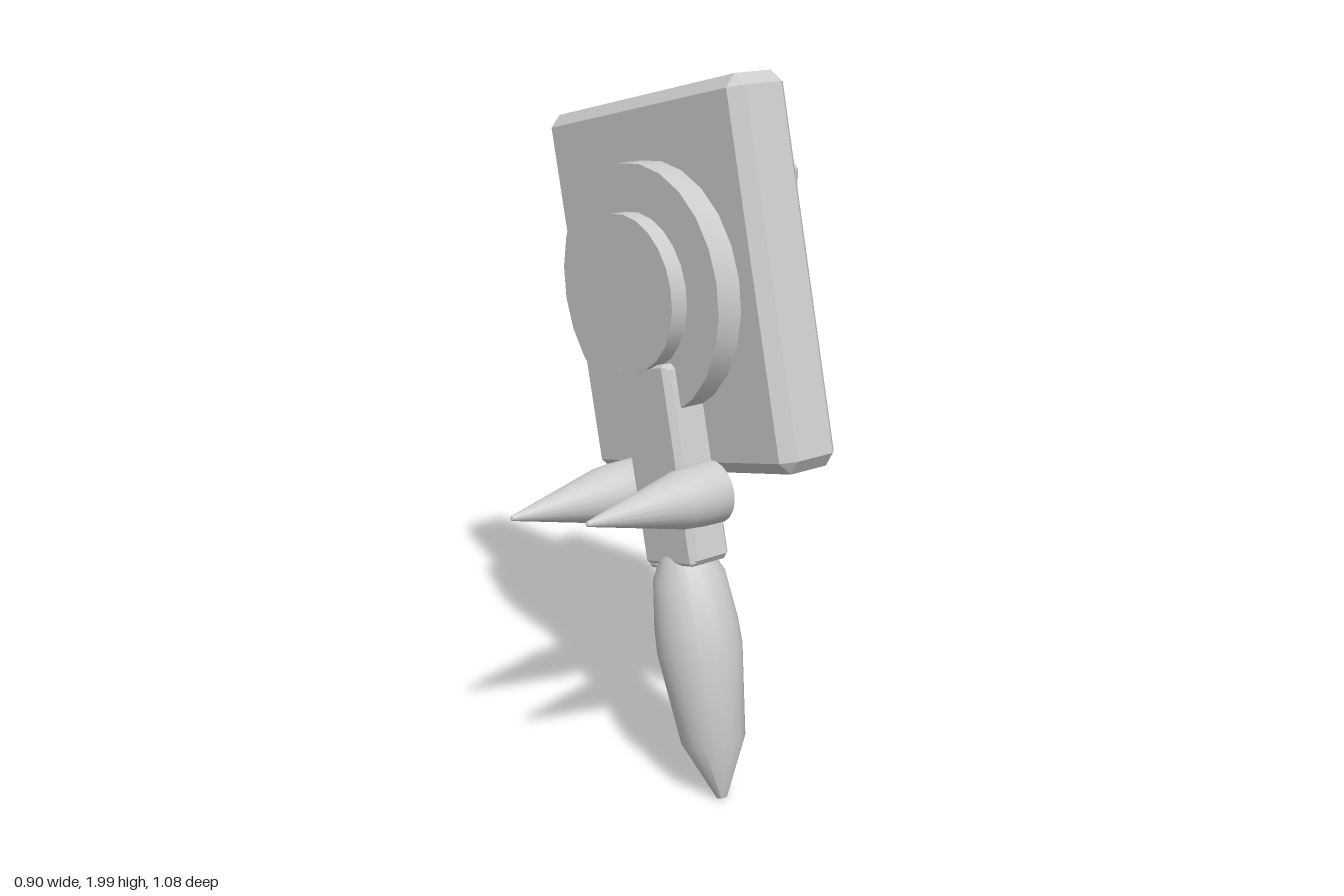
import * as THREE from 'three';
import { toCreasedNormals } from 'three/addons/utils/BufferGeometryUtils.js';
import { ConvexGeometry } from 'three/addons/geometries/ConvexGeometry.js';

const grey = new THREE.MeshStandardMaterial({ color: 0xcccccc });
grey.name = 'light grey';

function add(parent, name, geometry, x = 0, y = 0, z = 0) {
  const mesh = new THREE.Mesh(geometry, grey);
  mesh.name = name;
  mesh.position.set(x, y, z);
  parent.add(mesh);
  return mesh;
}

// Box with every edge and corner cut by c
function chamferBox(w, h, d, c) {
  const points = [];
  for (const sx of [-1, 1]) for (const sy of [-1, 1]) for (const sz of [-1, 1]) {
    const half = [w / 2, h / 2, d / 2];
    for (let axis = 0; axis < 3; axis++) {
      const p = half.map((v, i) => (i === axis ? v : v - c));
      points.push(new THREE.Vector3(p[0] * sx, p[1] * sy, p[2] * sz));
    }
  }
  return new ConvexGeometry(points);
}

// Turned shape from [radius, height] pairs
function turned(profile, sides) {
  const points = profile.map(([r, y]) => new THREE.Vector2(r, y));
  return toCreasedNormals(new THREE.LatheGeometry(points, sides), 0.6);
}

export function createModel() {
  const model = new THREE.Group();
  model.name = 'model';

  // Everything except the side block shares one tilt
  const body = new THREE.Group();
  body.name = 'tiltedBody';
  body.position.set(0.16, 1.392, 0);
  body.rotation.set(THREE.MathUtils.degToRad(-14), THREE.MathUtils.degToRad(-10), 0, 'YXZ');
  model.add(body);

  add(body, 'mainSlab', chamferBox(0.19, 1.035, 0.87, 0.034));

  // Stepped discs on the slab's right face
  for (const [name, radius, outer] of [['largeDisc', 0.345, 0.17], ['smallDisc', 0.215, 0.22]]) {
    const depth = outer - 0.08;
    const disc = toCreasedNormals(new THREE.CylinderGeometry(radius, radius, depth, 24), 0.6);
    add(body, name, disc, -0.08 - depth / 2).rotation.z = Math.PI / 2;
  }

  // Grooved arm leading down to the bulb
  add(body, 'armPlate', chamferBox(0.05, 0.55, 0.21, 0.008), -0.18, -0.475, 0.005);
  add(body, 'armFrontRail', chamferBox(0.13, 0.55, 0.155, 0.015), -0.138, -0.475, 0.04);
  add(body, 'armBackRail', chamferBox(0.13, 0.56, 0.045, 0.008), -0.13, -0.485, -0.08);

  // Tapered bulb ending in a point
  const bulb = [[0, 0], [0.015, 0.003], [0.09, 0.17], [0.119, 0.43], [0.117, 0.5],
    [0.1, 0.64], [0.068, 0.705], [0, 0.705]];
  add(body, 'taperedBulb', turned(bulb, 20), -0.138, -1.431, 0);

  // Pair of spikes pointing right
  const spike = [[0, 0], [0.085, 0], [0.084, 0.06], [0.079, 0.115], [0.007, 0.415], [0, 0.42]];
  for (const side of [1, -1]) {
    const name = side > 0 ? 'frontSpike' : 'backSpike';
    add(body, name, turned(spike, 20), -0.147, -0.55, 0.18 * side).rotation.z = Math.PI / 2;
  }

  // Upright block on the slab's left face
  add(model, 'sideBlock', chamferBox(0.21, 0.51, 0.415, 0.03), 0.34, 1.47, -0.03);

  return model;
}
